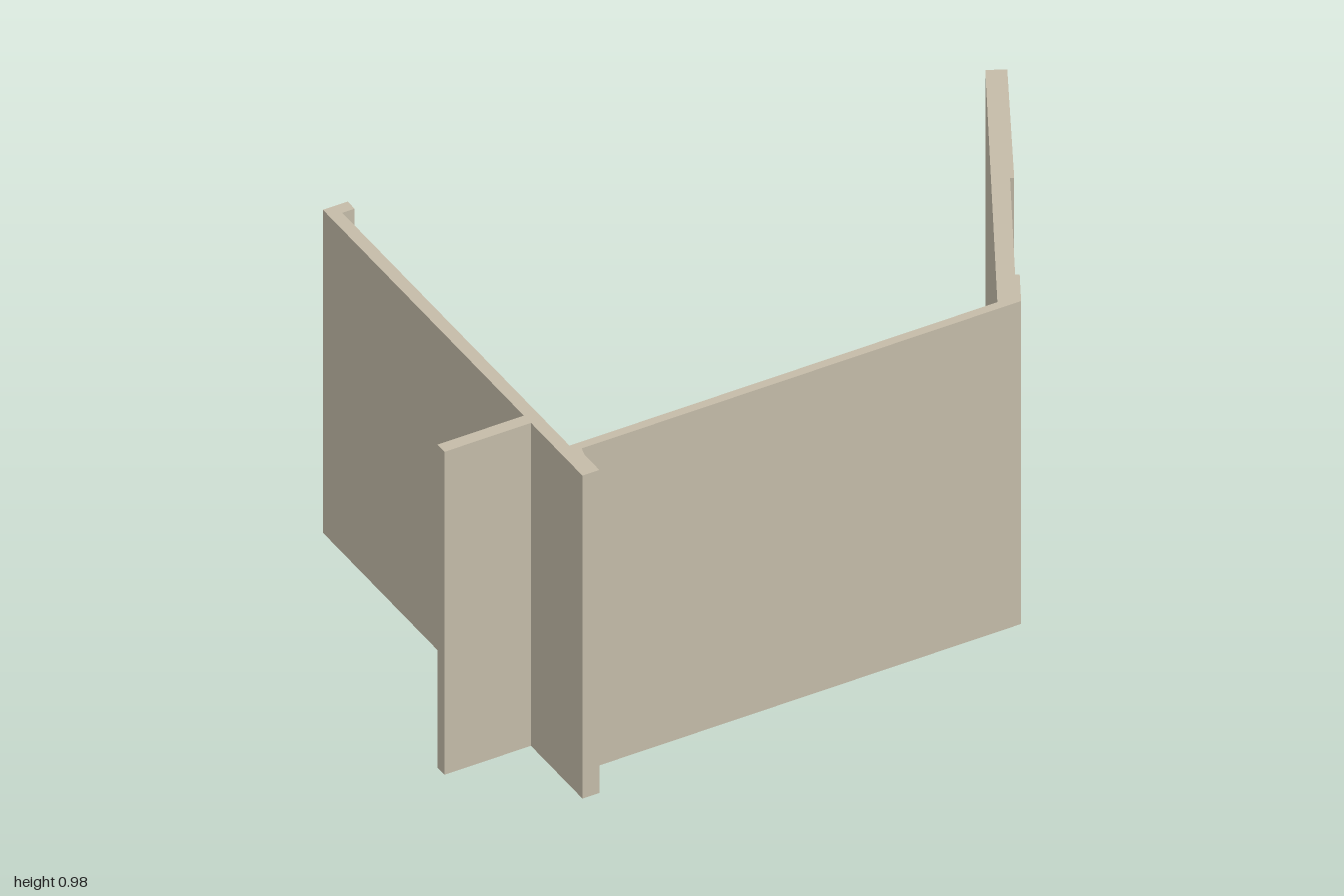
import * as THREE from 'three';

const HEIGHT = 0.98;

// Upright panel raised from a floor outline of [x, z] points
function panel(name, outline, material) {
  const shape = new THREE.Shape(outline.map(([x, z]) => new THREE.Vector2(x, -z)));
  const geometry = new THREE.ExtrudeGeometry(shape, { depth: HEIGHT, bevelEnabled: false });
  geometry.rotateX(-Math.PI / 2);
  const mesh = new THREE.Mesh(geometry, material);
  mesh.name = name;
  return mesh;
}

export function createModel() {
  const group = new THREE.Group();
  group.name = 'wallSegment';
  const plaster = new THREE.MeshStandardMaterial({ color: 0xc4bba8 });
  plaster.name = 'plaster';

  // Straight side wall with a hooked back end and a thicker front end
  group.add(panel('sideWall', [
    [-0.755, -0.645], [-0.685, -0.645], [-0.685, -0.61], [-0.72, -0.61],
    [-0.72, 0.515], [-0.70, 0.515], [-0.70, 0.54], [-0.707, 0.567],
    [-0.707, 0.64], [-0.755, 0.64],
  ], plaster));

  // Short partition reaching out from the side wall
  group.add(panel('partition', [
    [-1, 0.35], [-0.755, 0.35], [-0.755, 0.385], [-1, 0.385],
  ], plaster));

  // Long front wall
  group.add(panel('frontWall', [
    [-0.70, 0.515], [0.492, 0.515], [0.545, 0.54], [-0.70, 0.54],
  ], plaster));

  // Slanted wall with a shallow recess on its outer face
  group.add(panel('slantedWall', [
    [0.492, 0.515], [0.95, -0.345], [0.998, -0.32],
    [0.787, 0.083], [0.778, 0.078], [0.587, 0.437], [0.597, 0.442],
    [0.545, 0.54],
  ], plaster));

  return group;
}
